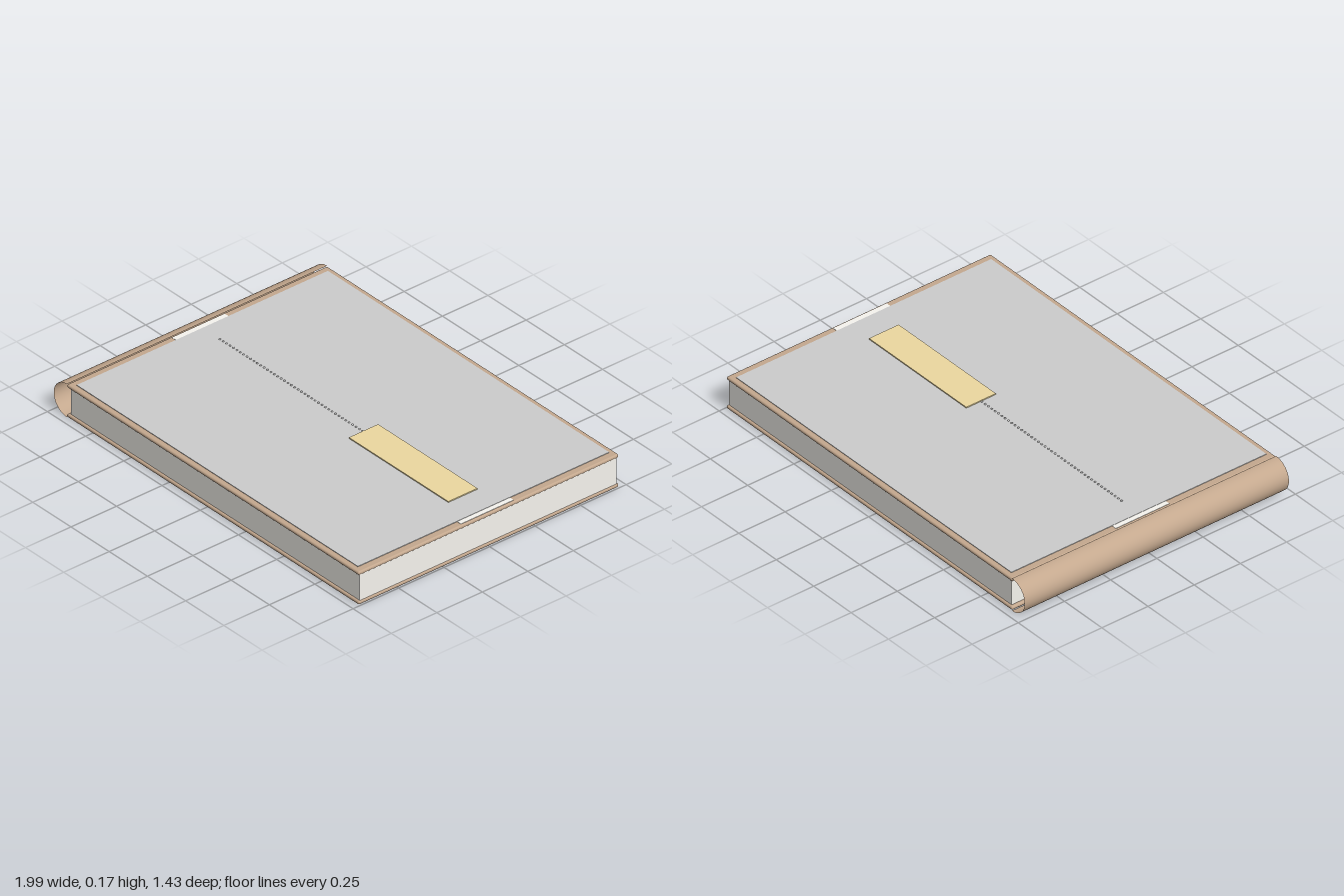
import * as THREE from 'three';
import { RoundedBoxGeometry } from 'three/addons/geometries/RoundedBoxGeometry.js';

const mat = (color, side = THREE.FrontSide) => new THREE.MeshStandardMaterial({ color, side });

export function createModel() {
  const book = new THREE.Group();
  book.name = 'book';
  const leather = mat(0xc4a88e);
  const paper = mat(0xf6f4ee);
  const grey = mat(0xcccccc);
  const gold = mat(0xecd8a0);

  const add = (name, geometry, material, x = 0, y = 0, z = 0) => {
    const mesh = new THREE.Mesh(geometry, material);
    mesh.name = name;
    mesh.position.set(x, y, z);
    book.add(mesh);
    return mesh;
  };

  // Two boards with softly rounded edges
  const board = new RoundedBoxGeometry(1.91, 0.018, 1.43, 3, 0.008);
  add('backCover', board, leather, 0.04, 0.009, 0);
  add('frontCover', board, leather, 0.04, 0.156, 0);

  // Page block between the boards
  add('pages', new THREE.BoxGeometry(1.89, 0.13, 1.41), paper, 0.045, 0.0825, 0);

  // Open, rounded spine along the left edge
  const spine = new THREE.CylinderGeometry(0.0825, 0.0825, 1.43, 32, 1, true, Math.PI, Math.PI);
  spine.rotateX(Math.PI / 2);
  spine.scale(1.03, 1, 1);
  add('spine', spine, mat(0xc4a88e, THREE.DoubleSide), -0.915, 0.0825, 0);

  // Pale band showing at both ends of the cover panel
  add('coverBand', new THREE.BoxGeometry(1.89, 0.002, 0.29), paper, 0.04, 0.1655, 0);

  // Thin panel laid on the front cover
  add('coverPanel', new THREE.BoxGeometry(1.84, 0.003, 1.38), grey, 0.04, 0.1662, 0);

  // Gold title plate
  add('titlePlate', new THREE.BoxGeometry(0.65, 0.006, 0.16), gold, 0.5, 0.17, 0);

  // Row of small beads leading to the plate
  const beads = new THREE.Group();
  beads.name = 'beadRow';
  const beadGeometry = new THREE.SphereGeometry(0.005, 8, 6);
  const count = 43;
  for (let i = 0; i < count; i++) {
    const bead = new THREE.Mesh(beadGeometry, grey);
    bead.name = 'bead';
    bead.position.set(-0.765 + (0.935 * i) / (count - 1), 0.168, 0);
    beads.add(bead);
  }
  book.add(beads);

  return book;
}
